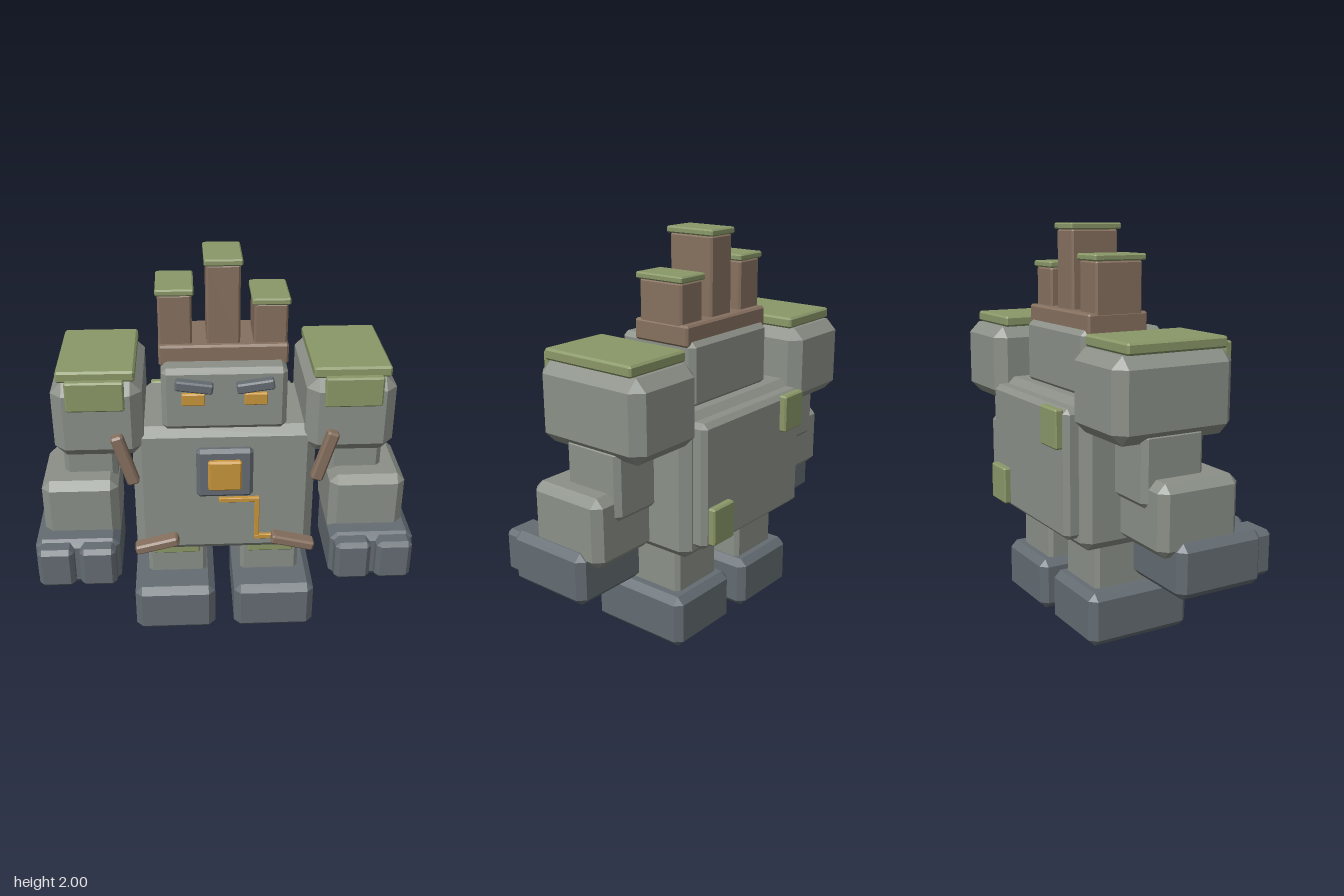
import * as THREE from 'three';
import { ConvexGeometry } from 'three/addons/geometries/ConvexGeometry.js';

const mat = (name, color) => {
  const m = new THREE.MeshStandardMaterial({ color });
  m.name = name;
  return m;
};

// Box with flat 45 degree bevels on every edge and cut corners
function bevelBox(w, h, d, c) {
  const pts = [];
  for (const sx of [-1, 1]) for (const sy of [-1, 1]) for (const sz of [-1, 1]) {
    for (let full = 0; full < 3; full++) {
      const half = [w / 2, h / 2, d / 2].map((v, i) => (i === full ? v : v - c));
      pts.push(new THREE.Vector3(sx * half[0], sy * half[1], sz * half[2]));
    }
  }
  return new ConvexGeometry(pts);
}

export function createModel() {
  const model = new THREE.Group();
  model.name = 'stoneGolem';
  const stone = mat('stone', 0x8b9088);
  const iron = mat('iron', 0x646c72);
  const wood = mat('wood', 0x86705f);
  const moss = mat('moss', 0x8a9868);
  const gold = mat('gold', 0xc7953b);

  // Part given by its extents on each axis, bevel size and tilt about z
  function block(name, material, [x0, x1], [y0, y1], [z0, z1], bevel, tilt = 0, parent = model) {
    const mesh = new THREE.Mesh(bevelBox(x1 - x0, y1 - y0, z1 - z0, bevel), material);
    mesh.name = name;
    mesh.position.set((x0 + x1) / 2, (y0 + y1) / 2, (z0 + z1) / 2);
    mesh.rotation.z = tilt;
    parent.add(mesh);
    return mesh;
  }

  // Same part on both sides, given for the left (+x)
  function pair(name, material, [x0, x1], y, z, bevel, tilt = 0) {
    block(name + 'Left', material, [x0, x1], y, z, bevel, tilt);
    block(name + 'Right', material, [-x1, -x0], y, z, bevel, -tilt);
  }

  // Torso and back plate
  block('torso', stone, [-0.45, 0.45], [0.48, 1.2], [-0.31, 0.23], 0.045);
  block('backPlate', stone, [-0.4, 0.4], [0.54, 1.17], [-0.38, -0.28], 0.025);
  block('backMossUpper', moss, [-0.37, -0.21], [0.98, 1.17], [-0.415, -0.37], 0.008);
  block('backMossLower', moss, [0.21, 0.37], [0.565, 0.755], [-0.415, -0.37], 0.008);

  // Chest core and the channel running from it
  block('coreFrame', iron, [-0.14, 0.14], [0.83, 1.1], [0.2, 0.265], 0.018);
  block('core', gold, [-0.083, 0.083], [0.883, 1.048], [0.25, 0.29], 0.01);
  block('channelTop', gold, [-0.03, 0.175], [0.79, 0.815], [0.22, 0.25], 0.003);
  block('channelDrop', gold, [0.15, 0.175], [0.565, 0.815], [0.22, 0.2495], 0.003);
  block('channelEnd', gold, [0.15, 0.25], [0.565, 0.59], [0.22, 0.25], 0.003);

  // Wooden splints
  pair('upperSplint', wood, [0.45, 0.51], [0.95, 1.22], [0.275, 0.33], 0.01, -0.285);
  pair('lowerSplint', wood, [0.233, 0.457], [0.535, 0.585], [0.22, 0.295], 0.01, -0.24);

  // Head, eyes and brows
  block('head', stone, [-0.3, 0.3], [1.19, 1.51], [-0.23, 0.22], 0.025);
  pair('eye', gold, [0.093, 0.205], [1.33, 1.393], [0.2, 0.24], 0.006);
  pair('brow', iron, [0.055, 0.235], [1.41, 1.46], [0.2, 0.265], 0.008, 0.14);

  // Crown with three capped stacks
  block('crownBase', wood, [-0.31, 0.31], [1.485, 1.588], [-0.205, 0.12], 0.01);
  for (const [x, top] of [[-0.228, 1.86], [0, 2], [0.225, 1.81]]) {
    block('stack', wood, [x - 0.08, x + 0.08], [1.57, top - 0.03], [-0.165, 0.09], 0.01);
    block('stackCap', moss, [x - 0.09, x + 0.09], [top - 0.032, top], [-0.175, 0.105], 0.007);
  }

  // Arms
  pair('shoulder', stone, [0.39, 0.82], [1.07, 1.46], [-0.355, 0.272], 0.055);
  pair('shoulderMoss', moss, [0.42, 0.79], [1.46, 1.515], [-0.29, 0.235], 0.01);
  pair('shoulderMossFlap', moss, [0.47, 0.745], [1.335, 1.485], [0.25, 0.292], 0.008);
  pair('upperArm', stone, [0.535, 0.8], [0.78, 1.12], [-0.21, 0.115], 0.025);
  pair('forearm', stone, [0.53, 0.91], [0.57, 0.91], [-0.185, 0.24], 0.04);
  pair('hand', iron, [0.53, 0.95], [0.38, 0.64], [-0.11, 0.35], 0.035);
  pair('innerFinger', iron, [0.548, 0.727], [0.412, 0.627], [0.3, 0.412], 0.022);
  pair('outerFinger', iron, [0.755, 0.934], [0.412, 0.627], [0.3, 0.412], 0.022);

  // Legs
  pair('leg', stone, [0.09, 0.4], [0.24, 0.52], [-0.215, 0.1], 0.02);
  pair('kneeMoss', moss, [0.127, 0.367], [0.4, 0.54], [0.08, 0.13], 0.008);
  pair('foot', iron, [0.05, 0.472], [0, 0.27], [-0.28, 0.28], 0.035);

  return model;
}
